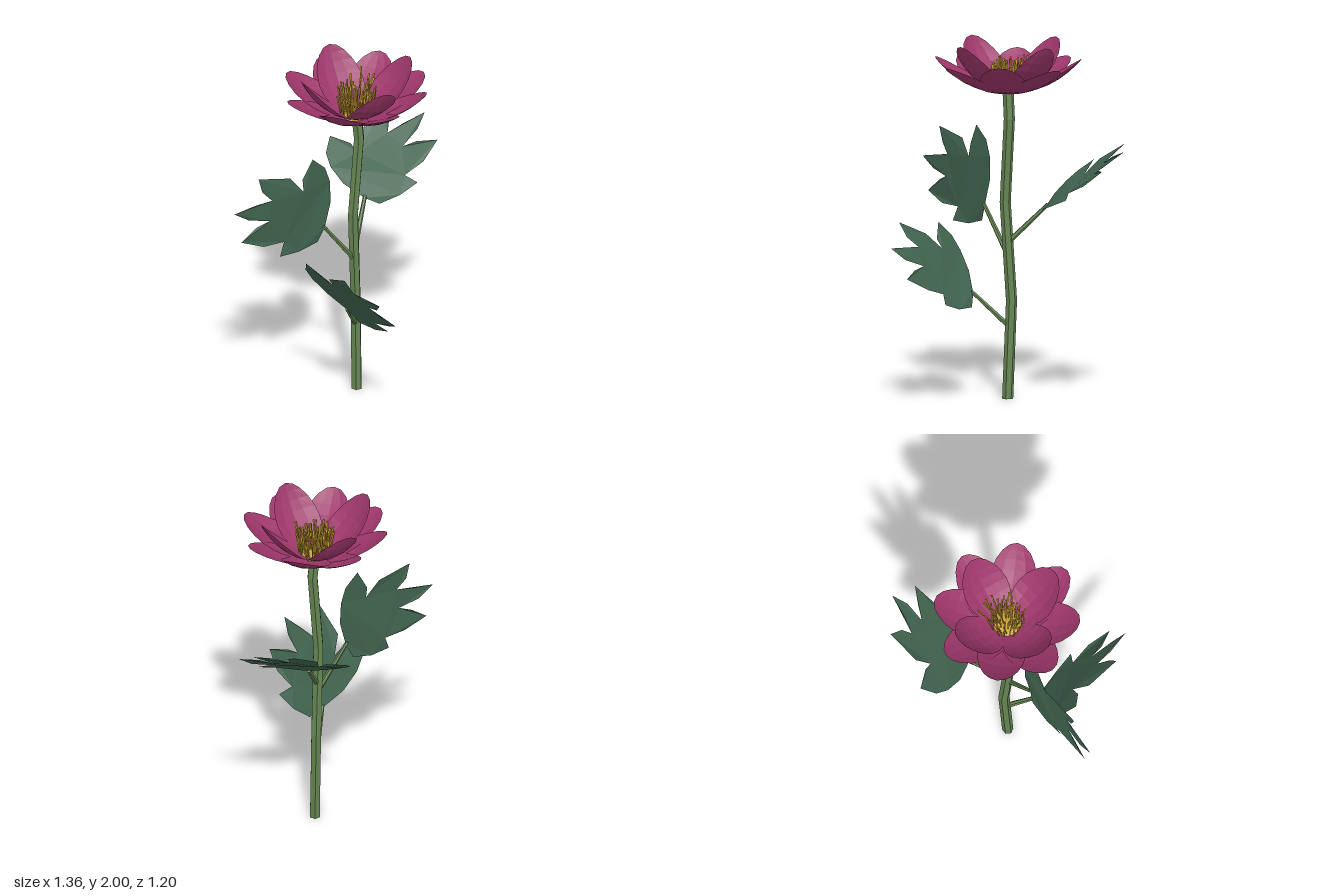
import * as THREE from 'three';

const mat = (name, color, double) => {
  const m = new THREE.MeshStandardMaterial({ color, flatShading: true });
  m.name = name;
  if (double) m.side = THREE.DoubleSide;
  return m;
};
const V = (x, y, z) => new THREE.Vector3(x, y, z);

// Flower axis
const CX = 0.08, CZ = -0.08;

// Straight tapered rod between two points
function rod(a, b, ra, rb, sides, material, name) {
  const d = b.clone().sub(a);
  const mesh = new THREE.Mesh(new THREE.CylinderGeometry(rb, ra, d.length(), sides), material);
  mesh.position.copy(a).addScaledVector(d, 0.5);
  mesh.quaternion.setFromUnitVectors(V(0, 1, 0), d.normalize());
  mesh.name = name;
  return mesh;
}

// Hexagonal stem built from horizontal rings
function stemGeometry(points, radius, sides) {
  const pos = [], idx = [];
  points.forEach((p) => {
    for (let i = 0; i < sides; i++) {
      const a = (i / sides) * Math.PI * 2;
      pos.push(p.x + Math.cos(a) * radius, p.y, p.z + Math.sin(a) * radius);
    }
  });
  for (let k = 0; k < points.length - 1; k++) {
    for (let i = 0; i < sides; i++) {
      const a = k * sides + i, b = k * sides + ((i + 1) % sides);
      idx.push(a, a + sides, b, b, a + sides, b + sides);
    }
  }
  const top = (points.length - 1) * sides;
  for (let i = 1; i < sides - 1; i++) {
    idx.push(0, i, i + 1, top, top + i + 1, top + i);
  }
  const g = new THREE.BufferGeometry();
  g.setAttribute('position', new THREE.Float32BufferAttribute(pos, 3));
  g.setIndex(idx);
  g.computeVertexNormals();
  return g;
}

// Cupped oval petal following a curved (radius, height) profile
function petalGeometry(profile, halfWidth, cup) {
  const curve = new THREE.QuadraticBezierCurve(...profile.map(([r, y]) => new THREE.Vector2(r, y)));
  const g = new THREE.PlaneGeometry(2, 1, 4, 10);
  const p = g.attributes.position;
  for (let i = 0; i < p.count; i++) {
    const u = p.getX(i);
    const v = (1 - Math.cos((p.getY(i) + 0.5) * Math.PI)) / 2;
    const c = curve.getPoint(v), t = curve.getTangent(v);
    const w = Math.sqrt(Math.max(0, 1 - (2 * v - 1) ** 2)) * u;
    const lift = cup * w * w;
    p.setXYZ(i, w * halfWidth, c.y + t.x * lift, c.x - t.y * lift);
  }
  g.computeVertexNormals();
  return g;
}

// Five-lobed leaf outline: [across, up, bend out of plane]
const LEAF = [
  [-0.01, -0.01, 0], [0.03, -0.1, 0.012], [0.15, -0.13, 0.008], [0.27, -0.125, -0.006],
  [0.24, -0.045, 0.006], [0.37, -0.04, -0.004], [0.505, 0.015, 0.004], [0.41, 0.085, 0.006],
  [0.335, 0.115, -0.006], [0.46, 0.145, 0.004], [0.55, 0.205, 0], [0.42, 0.225, 0.006],
  [0.32, 0.24, -0.006], [0.375, 0.3, 0.004], [0.4, 0.39, 0], [0.2, 0.345, 0.006],
  [0.125, 0.25, -0.008], [0.125, 0.32, 0.005], [0.065, 0.435, 0], [-0.015, 0.36, 0.006],
  [-0.045, 0.27, 0.008], [-0.05, 0.14, 0.006],
];

function leafGeometry(base, across, up) {
  const shape = new THREE.Shape(LEAF.map(([u, v]) => new THREE.Vector2(u, v)));
  const g = new THREE.ShapeGeometry(shape);
  const p = g.attributes.position;
  const normal = across.clone().cross(up).normalize();
  for (let i = 0; i < p.count; i++) {
    const u = p.getX(i), v = p.getY(i);
    const bend = LEAF.find((q) => Math.abs(q[0] - u) + Math.abs(q[1] - v) < 1e-4)[2];
    const q = base.clone().addScaledVector(across, u).addScaledVector(up, v).addScaledVector(normal, bend);
    p.setXYZ(i, q.x, q.y, q.z);
  }
  g.computeVertexNormals();
  return g;
}

export function createModel() {
  const root = new THREE.Group();
  root.name = 'flower';
  const stemMat = mat('stem green', 0x658552);
  const leafMat = mat('leaf green', 0x40634e, true);
  const petalMat = mat('petal magenta', 0x9e376b, true);
  const stamenMat = mat('stamen gold', 0xcda233);

  // Gently bent stem
  const stem = new THREE.Mesh(stemGeometry([
    V(0.08, 0, -0.075), V(0.085, 0.55, -0.098), V(0.058, 1.1, -0.075),
    V(0.095, 1.57, -0.075), V(0.08, 1.72, -0.078),
  ], 0.031, 6), stemMat);
  stem.name = 'stem';
  root.add(stem);

  // Leaves with their stalks
  [
    { name: 'leftLeaf', from: V(0.07, 0.81, -0.08), base: V(-0.13, 1.07, -0.07), across: V(-1, 0, 0), up: V(0, 1, 0) },
    { name: 'backLeaf', from: V(0.07, 0.87, -0.08), base: V(0.22, 1.09, -0.25), across: V(0.92, 0.44, -0.02), up: V(-0.23, 0.43, -0.81) },
    { name: 'frontLeaf', from: V(0.08, 0.4, -0.09), base: V(-0.055, 0.6, 0.075), across: V(0.13, 0.21, 0.98), up: V(-0.63, 0.8, -0.09) },
  ].forEach(({ name, from, base, across, up }) => {
    const group = new THREE.Group();
    group.name = name;
    const blade = new THREE.Mesh(leafGeometry(base, across, up), leafMat);
    blade.name = name + 'Blade';
    group.add(rod(from, base, 0.016, 0.011, 6, stemMat, name + 'Stalk'), blade);
    root.add(group);
  });

  // Three rings of four petals
  const bloom = new THREE.Group();
  bloom.name = 'bloom';
  bloom.position.set(CX, 0, CZ);
  [
    { name: 'outerPetal', turn: 0, profile: [[0, 1.71], [0.2, 1.705], [0.42, 1.885]], w: 0.134, cup: 0.03 },
    { name: 'middlePetal', turn: Math.PI / 4, profile: [[0.01, 1.715], [0.24, 1.71], [0.41, 1.91]], w: 0.134, cup: 0.035 },
    { name: 'innerPetal', turn: 0, profile: [[0.04, 1.72], [0.23, 1.76], [0.335, 2]], w: 0.134, cup: 0.035 },
  ].forEach(({ name, turn, profile, w, cup }) => {
    const g = petalGeometry(profile, w, cup);
    for (let i = 0; i < 4; i++) {
      const petal = new THREE.Mesh(g, petalMat);
      petal.name = name;
      petal.rotation.y = turn + (i * Math.PI) / 2;
      bloom.add(petal);
    }
  });

  // Golden centre and its thin stamens
  const heart = new THREE.Mesh(new THREE.SphereGeometry(0.09, 10, 4, 0, Math.PI * 2, 0, Math.PI / 2), stamenMat);
  heart.name = 'flowerCentre';
  heart.scale.y = 0.35;
  heart.position.y = 1.718;
  bloom.add(heart);

  let seed = 7;
  const rand = () => (seed = (seed * 16807) % 2147483647) / 2147483647;
  for (let i = 0; i < 64; i++) {
    const a = i * 2.39996, r = 0.09 * Math.sqrt((i + 0.5) / 64);
    const lean = i % 13 === 0 ? 0.08 : 0.035 * rand();
    const h = 0.11 + 0.08 * rand() + (lean > 0.05 ? 0.03 : 0);
    const b = a + (rand() - 0.5) * 1.5;
    const foot = V(Math.cos(a) * r, 1.725, Math.sin(a) * r);
    const tip = V(foot.x + Math.cos(b) * lean, 1.725 + h, foot.z + Math.sin(b) * lean);
    bloom.add(rod(foot, tip, 0.003, 0.006, 4, stamenMat, 'stamen'));
  }
  root.add(bloom);
  return root;
}
